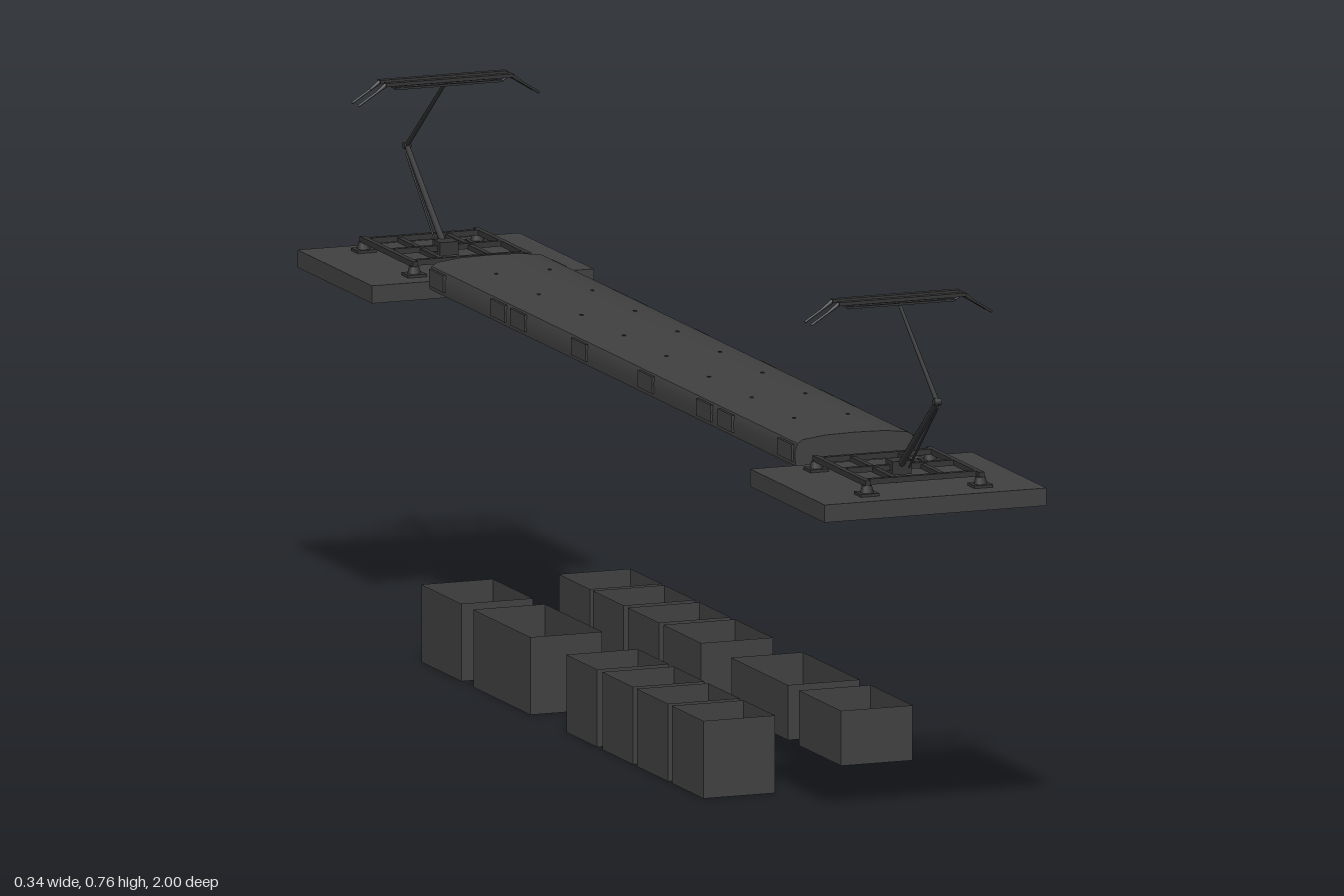
import * as THREE from 'three';
import { toCreasedNormals } from 'three/addons/utils/BufferGeometryUtils.js';

const bodyGrey = new THREE.MeshStandardMaterial({ color: 0x404040, side: THREE.DoubleSide });
bodyGrey.name = 'bodyGrey';
const frameGrey = new THREE.MeshStandardMaterial({ color: 0x343434 });
frameGrey.name = 'frameGrey';

function add(parent, name, geometry, material) {
  const mesh = new THREE.Mesh(geometry, material);
  mesh.name = name;
  parent.add(mesh);
  return mesh;
}

// box given by its limits on each axis
function block(parent, name, [x0, x1], [y0, y1], [z0, z1], material = frameGrey) {
  const mesh = add(parent, name, new THREE.BoxGeometry(x1 - x0, y1 - y0, z1 - z0), material);
  mesh.position.set((x0 + x1) / 2, (y0 + y1) / 2, (z0 + z1) / 2);
  return mesh;
}

// sheet box with one side left out: 2 = top, 3 = bottom
function openBox(parent, name, xs, ys, zs, missing) {
  const mesh = block(parent, name, xs, ys, zs, bodyGrey);
  const index = Array.from(mesh.geometry.index.array);
  index.splice(missing * 6, 6);
  mesh.geometry.setIndex(index);
  return mesh;
}

// round rod between two points
function rod(parent, name, a, b, r0, r1 = r0) {
  const from = new THREE.Vector3(...a), to = new THREE.Vector3(...b);
  const dir = to.clone().sub(from);
  const mesh = add(parent, name, new THREE.CylinderGeometry(r1, r0, dir.length(), 8), frameGrey);
  mesh.position.copy(from).add(to).multiplyScalar(0.5);
  mesh.quaternion.setFromUnitVectors(new THREE.Vector3(0, 1, 0), dir.normalize());
  return mesh;
}

function roof() {
  const g = new THREE.Group();
  g.name = 'roof';
  const half = [[0.089, 0.491], [0.09, 0.512], [0.086, 0.523], [0.078, 0.528], [0.045, 0.532], [0, 0.533]];
  const outer = [...half, ...half.slice(0, -1).reverse().map(([x, y]) => [-x, y])];
  const inner = outer.map(([x, y]) => [x * 0.95, y > 0.5 ? y - 0.004 : y]).reverse();
  const toShape = pts => new THREE.Shape(pts.map(p => new THREE.Vector2(...p)));
  const shell = new THREE.ExtrudeGeometry(toShape([...outer, ...inner]), { depth: 1.376, bevelEnabled: false });
  add(g, 'roofShell', toCreasedNormals(shell, 0.6), bodyGrey).position.z = -0.688;
  for (const z of [-0.688, 0.685]) {
    const end = new THREE.ExtrudeGeometry(toShape(outer), { depth: 0.003, bevelEnabled: false });
    add(g, 'roofEnd', end, bodyGrey).position.z = z;
  }
  // vent panels along both sides, and small bolts on top
  for (const s of [-1, 1]) {
    for (const z of [-0.655, -0.425, -0.35, -0.12, 0.13, 0.35, 0.43, 0.655])
      block(g, 'sidePanel', [s * 0.0905 - 0.002, s * 0.0905 + 0.002], [0.497, 0.521], [z - 0.027, z + 0.027], bodyGrey);
    for (let i = 0; i < 8; i++) {
      const z = -0.56 + i * 0.16;
      block(g, 'roofBolt', [s * 0.04 - 0.002, s * 0.04 + 0.002], [0.53, 0.5335], [z - 0.002, z + 0.002]);
    }
  }
  return g;
}

// platform with current collector, local z = 0 at platform centre, elbow towards +z
function collector() {
  const g = new THREE.Group();
  g.name = 'collectorUnit';
  openBox(g, 'platform', [-0.166, 0.166], [0.472, 0.497], [-0.14, 0.14], 3);

  // base frame on four insulator feet
  for (const x of [-0.085, 0.085]) {
    for (const z of [-0.095, 0.095]) {
      block(g, 'footPlate', [x - 0.014, x + 0.014], [0.491, 0.501], [z - 0.013, z + 0.013]);
      const foot = add(g, 'insulator', new THREE.CylinderGeometry(0.007, 0.01, 0.012, 10), frameGrey);
      foot.position.set(x, 0.505, z);
    }
    block(g, 'frameSide', [x - 0.004, x + 0.004], [0.51, 0.518], [-0.1, 0.1]);
  }
  for (const z of [-0.085, 0, 0.085])
    block(g, 'frameCross', [-0.085, 0.085], [0.51, 0.518], [z - 0.004, z + 0.004]);
  for (const x of [-0.036, 0.036])
    block(g, 'frameRail', [x - 0.004, x + 0.004], [0.509, 0.516], [-0.085, 0.085]);
  block(g, 'armPivot', [-0.014, 0.014], [0.505, 0.524], [-0.014, 0.014]);

  // folding arm
  const elbow = [0, 0.632, 0.146];
  rod(g, 'lowerArm', [0, 0.515, 0.005], elbow, 0.005, 0.004);
  rod(g, 'guideRod', [0.004, 0.518, 0.03], [0.004, 0.622, 0.138], 0.0015);
  rod(g, 'elbowJoint', [-0.005, 0.632, 0.146], [0.005, 0.632, 0.146], 0.005);
  rod(g, 'upperArm', elbow, [0, 0.748, 0], 0.0035, 0.0025);

  // contact head with two strips and drooping horns
  for (const z of [-0.012, 0.012]) {
    block(g, 'contactStrip', [-0.095, 0.095], [0.751, 0.756], [z - 0.005, z + 0.005]);
    block(g, 'stripCarrier', [-0.08, 0.08], [0.745, 0.748], [z - 0.002, z + 0.002]);
    for (const s of [-1, 1]) {
      rod(g, 'hornBase', [s * 0.094, 0.753, z], [s * 0.108, 0.743, z], 0.0035, 0.002);
      rod(g, 'horn', [s * 0.108, 0.743, z], [s * 0.135, 0.726, z], 0.0018);
      rod(g, 'carrierLink', [s * 0.078, 0.746, z], [s * 0.09, 0.753, z], 0.0015);
    }
  }
  for (const x of [-0.07, 0, 0.07])
    block(g, 'headTie', [x - 0.002, x + 0.002], [0.745, 0.749], [-0.013, 0.013]);
  return g;
}

// open equipment boxes in two rows: [z from, z to, bottom]
function equipmentBoxes() {
  const g = new THREE.Group();
  g.name = 'equipmentBoxes';
  const rows = [
    { x: [-0.17, -0.063], boxes: [[-0.515, -0.365, 0], [-0.32, -0.105, 0], [0.03, 0.145, 0],
      [0.165, 0.28, 0], [0.295, 0.412, 0], [0.427, 0.545, 0]] },
    { x: [0.035, 0.142], boxes: [[-0.513, -0.397, 0], [-0.385, -0.27, 0.016], [-0.253, -0.137, 0.016],
      [-0.12, 0.022, 0], [0.135, 0.348, 0.032], [0.39, 0.548, 0.032]] },
  ];
  for (const { x, boxes } of rows)
    for (const [z0, z1, y0] of boxes) openBox(g, 'equipmentBox', x, [y0, 0.11], [z0, z1], 2);
  return g;
}

export function createModel() {
  const model = new THREE.Group();
  model.name = 'railcarParts';
  model.add(roof(), equipmentBoxes());
  const front = collector(), back = collector();
  front.position.z = 0.851;
  back.position.z = -0.851;
  back.rotation.y = Math.PI;
  model.add(front, back);
  return model;
}
